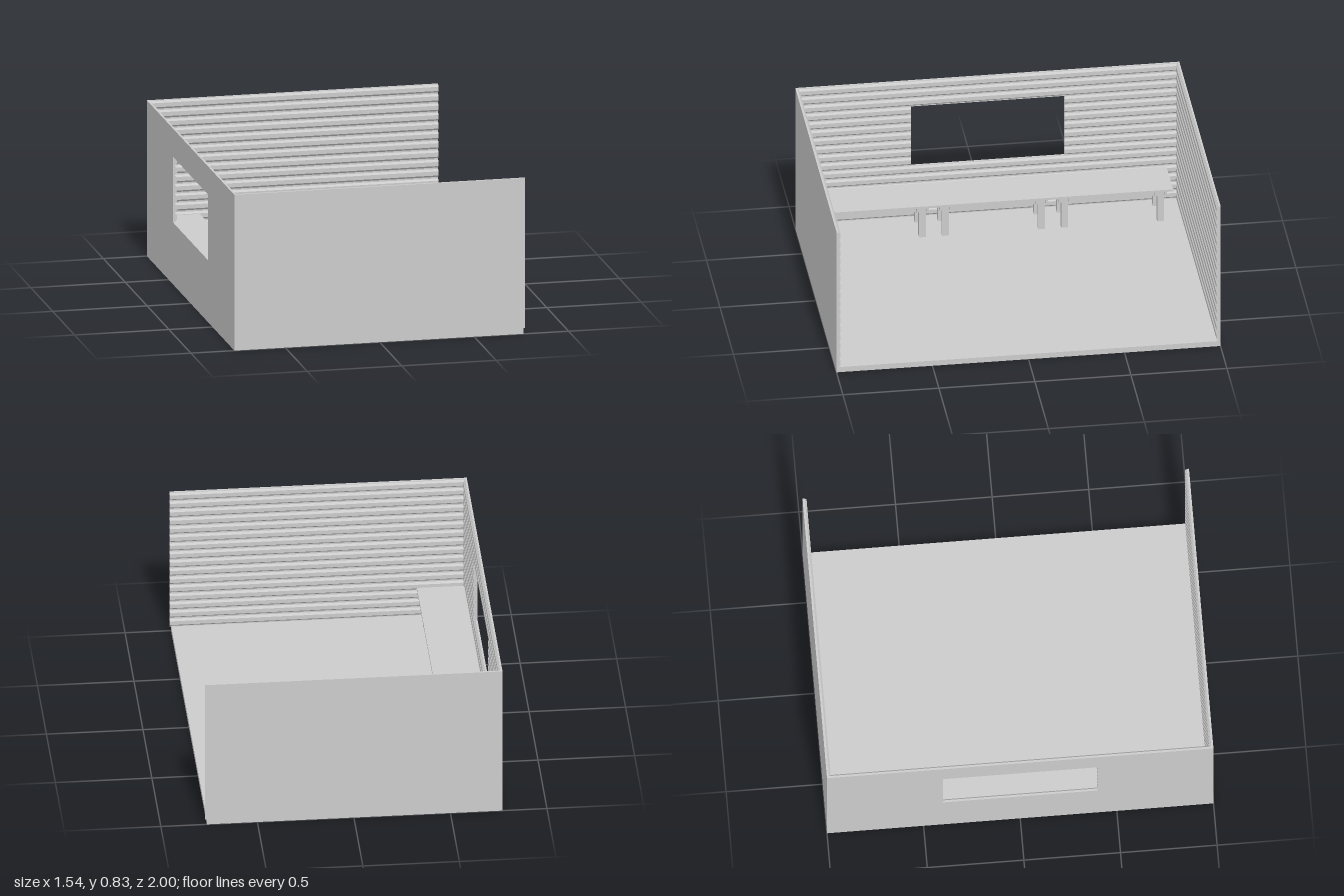
import * as THREE from 'three';

const material = new THREE.MeshStandardMaterial({ color: 0xcccccc, flatShading: true });
const PITCH = 0.05, FLOOR = 0.03, BOARDS = 16;
const HALF_X = 0.77, HALF_Z = 1;

function box(parent, name, w, h, d, x, y, z) {
  const mesh = new THREE.Mesh(new THREE.BoxGeometry(w, h, d), material);
  mesh.name = name;
  mesh.position.set(x, y, z);
  parent.add(mesh);
}

// Stack of log boards: flat outside at depth 0, bevelled bumps facing the inside.
// Runs along local z from 0 to length, depth along local x.
function boards(name, firstBoard, count, length) {
  const shape = new THREE.Shape();
  const y0 = FLOOR + firstBoard * PITCH;
  shape.moveTo(0, y0);
  for (let i = 0; i < count; i++) {
    const y = y0 + i * PITCH;
    shape.lineTo(0.011, y);
    shape.lineTo(0.011, y + 0.005);
    shape.lineTo(0.021, y + 0.015);
    shape.lineTo(0.021, y + 0.037);
    shape.lineTo(0.011, y + 0.047);
  }
  shape.lineTo(0.011, y0 + count * PITCH);
  shape.lineTo(0, y0 + count * PITCH);
  const geometry = new THREE.ExtrudeGeometry(shape, { depth: length, bevelEnabled: false });
  const mesh = new THREE.Mesh(geometry, material);
  mesh.name = name;
  return mesh;
}

// Bench section centred on z, pushed against the window wall
function bench(z) {
  const group = new THREE.Group();
  group.name = 'bench';
  const back = -0.749, front = -0.505, mid = (back + front) / 2;
  box(group, 'benchTop', front - back, 0.012, 0.62, mid, 0.221, z);
  for (const s of [-1, 1]) {
    const legZ = z + s * 0.25;
    for (const x of [back + 0.04, front - 0.045])
      box(group, 'benchLeg', 0.035, 0.185, 0.036, x, FLOOR + 0.0925, legZ);
    // Paired bearers clamping the legs under the top
    for (const t of [-1, 1])
      box(group, 'bearer', 0.21, 0.03, 0.014, mid, 0.2, legZ + t * 0.025);
  }
  // Long rails between the legs
  for (const x of [back + 0.04, front - 0.045])
    box(group, 'benchRail', 0.015, 0.033, 0.5, x, 0.193, z);
  return group;
}

export function createModel() {
  const model = new THREE.Group();
  box(model, 'floor', HALF_X + 0.762, FLOOR, 2 * HALF_Z, -0.004, FLOOR / 2, 0);

  // Long walls at front and back, bumps facing inward
  for (const side of [-1, 1]) {
    const wall = boards(side > 0 ? 'frontWall' : 'backWall', 0, BOARDS, 2 * HALF_X);
    wall.rotation.y = side * Math.PI / 2;
    wall.position.set(-side * HALF_X, 0, side * HALF_Z);
    model.add(wall);
  }

  // Window wall: boards below, above and beside the opening
  const windowWall = new THREE.Group();
  windowWall.name = 'windowWall';
  const end = HALF_Z - 0.002, open = 0.4;
  for (const [name, first, count, from, to] of [
    ['lowerBoards', 0, 6, -end, end],
    ['upperBoards', 13, 3, -end, end],
    ['rearSideBoards', 6, 7, -end, -open],
    ['frontSideBoards', 6, 7, open, end],
  ]) {
    const part = boards(name, first, count, to - from);
    part.position.set(-HALF_X, 0, from);
    windowWall.add(part);
  }
  model.add(windowWall);

  for (const z of [-0.62, 0, 0.62]) model.add(bench(z));
  return model;
}
